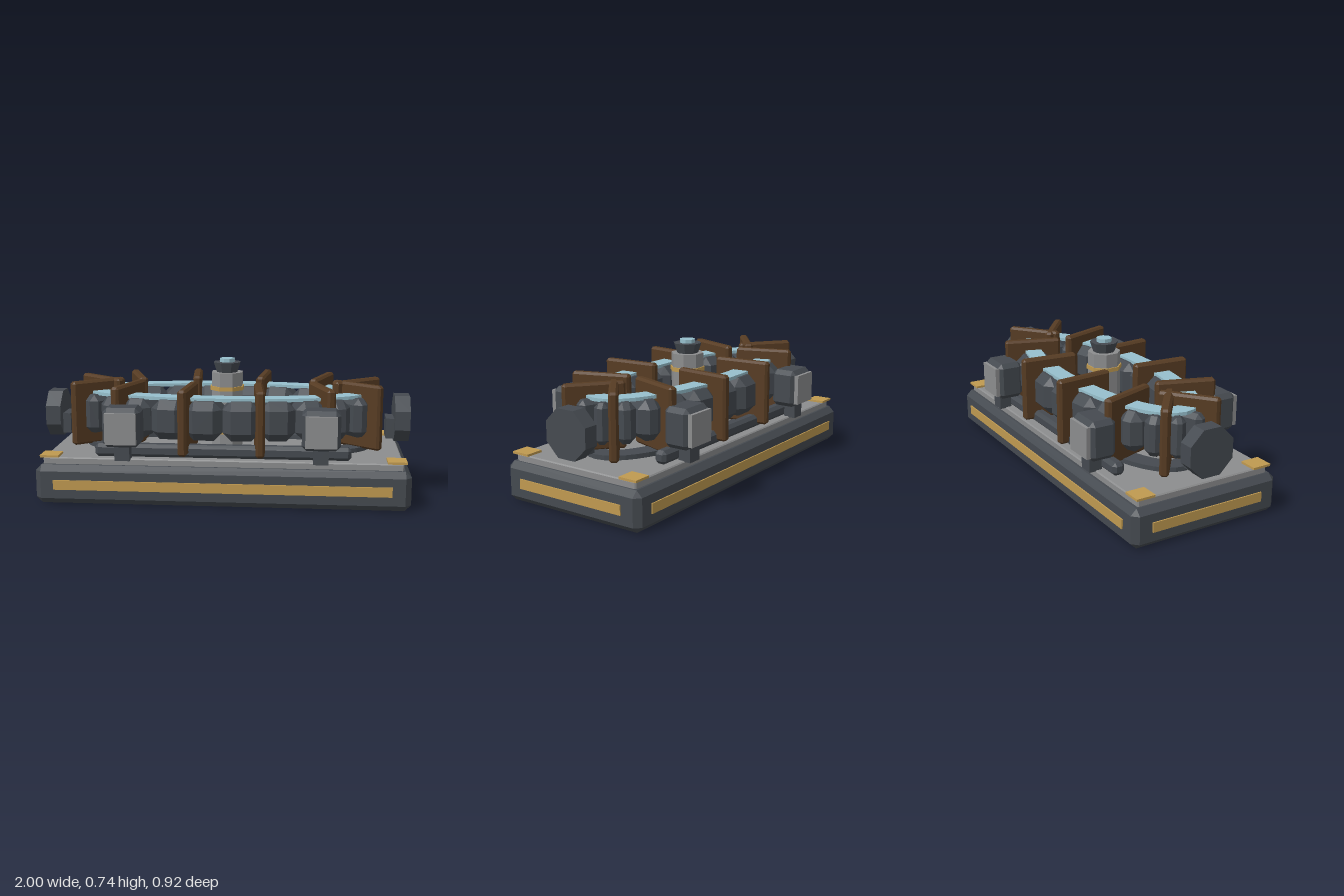
import * as THREE from 'three';
import { ConvexGeometry } from 'three/addons/geometries/ConvexGeometry.js';

const mat = (name, color) => {
  const m = new THREE.MeshStandardMaterial({ color, flatShading: true });
  m.name = name;
  return m;
};

// Box with all edges and corners chamfered by c
function chamferBox(w, h, d, c) {
  const pts = [];
  for (const x of [-1, 1]) for (const y of [-1, 1]) for (const z of [-1, 1]) {
    const X = w / 2, Y = h / 2, Z = d / 2;
    pts.push(new THREE.Vector3(x * X, y * (Y - c), z * (Z - c)));
    pts.push(new THREE.Vector3(x * (X - c), y * Y, z * (Z - c)));
    pts.push(new THREE.Vector3(x * (X - c), y * (Y - c), z * Z));
  }
  return new ConvexGeometry(pts);
}

// Ellipse that the coil follows
const A = 0.74, B = 0.25;
function onEllipse(t, off = 0) {
  const n = new THREE.Vector2(Math.cos(t) / A, Math.sin(t) / B).normalize();
  return { x: A * Math.cos(t) + n.x * off, z: B * Math.sin(t) + n.y * off, angle: Math.atan2(n.y, n.x) };
}

// Flat band along the ellipse
function ellipseBand(halfWidth, height) {
  const loop = (off) => Array.from({ length: 48 }, (_, i) => {
    const p = onEllipse(i * Math.PI / 24, off);
    return new THREE.Vector2(p.x, p.z);
  });
  const shape = new THREE.Shape(loop(halfWidth));
  shape.holes.push(new THREE.Path(loop(-halfWidth)));
  return new THREE.ExtrudeGeometry(shape, { depth: height, bevelEnabled: false }).rotateX(-Math.PI / 2);
}

export function createModel() {
  const dark = mat('dark steel', 0x454a50);
  const grey = mat('grey metal', 0x8c8d8e);
  const gold = mat('brass', 0xc09a50);
  const brown = mat('brown frame', 0x573c23);
  const blue = mat('pale blue', 0x97c0cd);
  const root = new THREE.Group();
  const add = (name, geo, m, x = 0, y = 0, z = 0, ry = 0) => {
    const mesh = new THREE.Mesh(geo, m);
    mesh.name = name;
    mesh.position.set(x, y, z);
    mesh.rotation.y = ry;
    root.add(mesh);
    return mesh;
  };
  const box = (w, h, d) => new THREE.BoxGeometry(w, h, d);
  const octagon = (rt, rb, h) => new THREE.CylinderGeometry(rt, rb, h, 8).rotateY(Math.PI / 8);

  // Base and deck
  add('base', chamferBox(1.98, 0.21, 0.856, 0.032), dark, 0, 0.105);
  add('deck', chamferBox(1.9, 0.045, 0.768, 0.006), grey, 0, 0.223);
  for (const s of [-1, 1]) {
    add('longTrim', box(1.78, 0.052, 0.008), gold, 0, 0.107, s * 0.431);
    add('endTrim', box(0.008, 0.052, 0.65), gold, s * 0.993, 0.107, 0);
    for (const q of [-1, 1]) add('cornerPlate', box(0.1, 0.012, 0.104), gold, s * 0.915, 0.253, q * 0.346);
  }

  // Coil segments along the ellipse
  const N = 24, step = Math.PI * 2 / N;
  for (let i = 0; i < N; i++) {
    const t = (i + 0.5) * step, p = onEllipse(t);
    const a = onEllipse(t - step / 2), b = onEllipse(t + step / 2);
    const len = Math.hypot(a.x - b.x, a.z - b.z) + 0.005;
    add('coilSegment', chamferBox(0.21, 0.212, len, Math.min(0.045, len * 0.33)), dark, p.x, 0.44, p.z, -p.angle);
  }
  add('coilStrip', ellipseBand(0.047, 0.018), blue, 0, 0.541);
  add('coilTrack', ellipseBand(0.05, 0.026), dark, 0, 0.244);

  // Upright frames across the coil
  for (let i = 0; i < 12; i++) {
    const p = onEllipse((i + 0.5) * Math.PI / 6);
    add('frame', chamferBox(0.32, 0.352, 0.048, 0.012), brown, p.x, 0.44, p.z, -p.angle);
  }

  // Side rails and side blocks
  for (const z of [-1, 1]) {
    add('sideRail', chamferBox(1.36, 0.07, 0.068, 0.018), dark, 0, 0.28, z * 0.315);
    for (const x of [-1, 1]) {
      add('blockFoot', box(0.08, 0.085, 0.07), dark, x * 0.52, 0.283, z * 0.382);
      add('sideBlock', chamferBox(0.2, 0.21, 0.15, 0.025), dark, x * 0.52, 0.42, z * 0.367);
      add('sideBlockCap', box(0.164, 0.166, 0.025), grey, x * 0.52, 0.418, z * 0.446);
    }
  }

  // Octagonal end caps with brackets
  for (const s of [-1, 1]) {
    add('endCap', octagon(0.135, 0.135, 0.082).rotateZ(Math.PI / 2), dark, s * 0.959, 0.42, 0);
    add('endBracket', box(0.045, 0.11, 0.14), dark, s * 0.897, 0.367, 0);
  }

  // Centre post
  add('post', octagon(0.09, 0.09, 0.42), grey, 0, 0.45);
  add('postCollar', octagon(0.097, 0.097, 0.022), gold, 0, 0.573);
  add('postLowerCollar', octagon(0.095, 0.095, 0.06), gold, 0, 0.35);
  add('postHead', octagon(0.078, 0.06, 0.055), dark, 0, 0.687);
  add('postLens', octagon(0.043, 0.043, 0.022), blue, 0, 0.724);
  return root;
}
